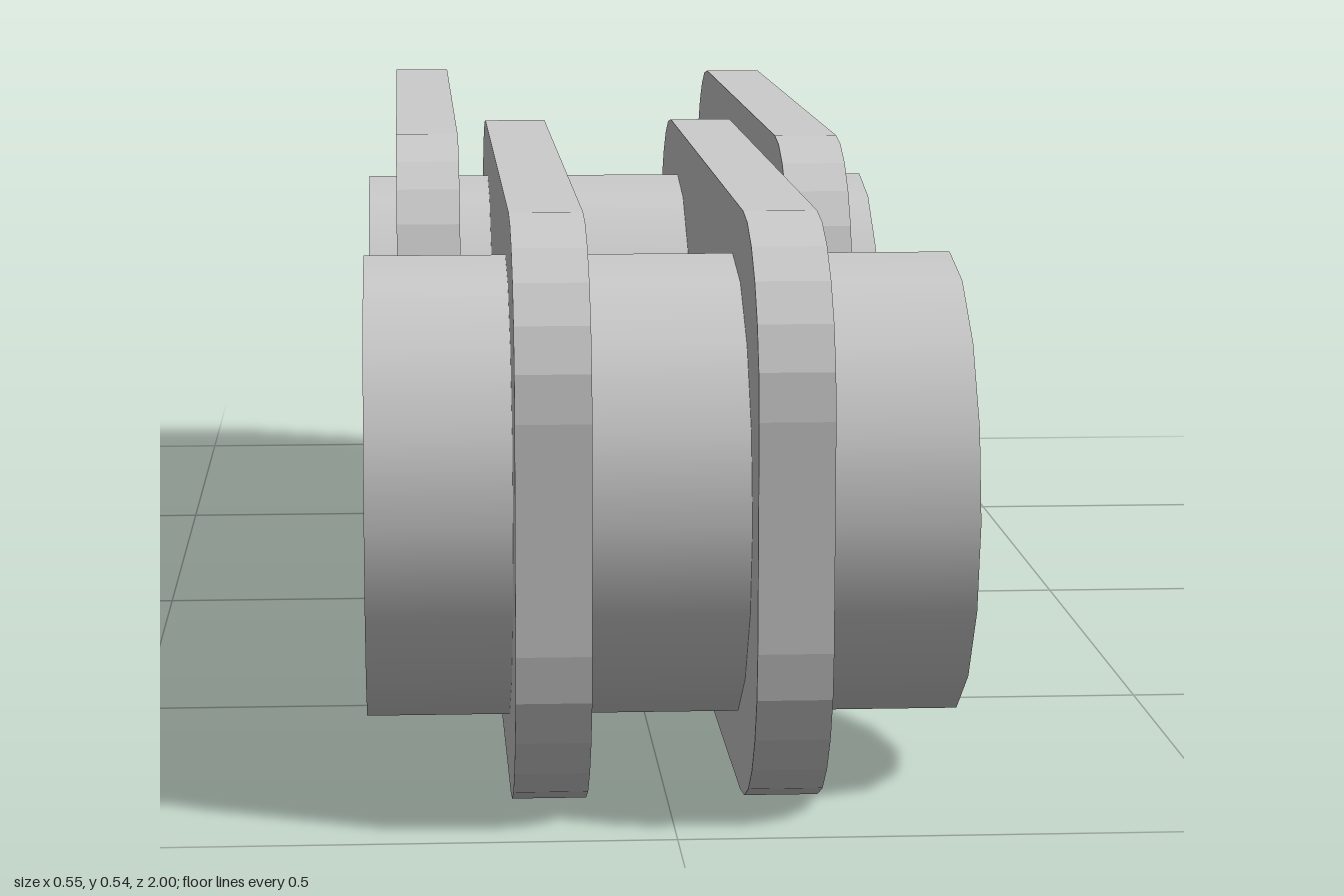
import * as THREE from 'three';

const HEIGHT = 0.535, LENGTH = 1.246, THICK = 0.067, CORNER = 0.165;
const PIN_RADIUS = 0.216, PIN_LENGTH = 0.545;

// Rounded link plate, long along z, thin along x, centred on its own origin
function plateGeometry() {
  const l = LENGTH / 2, h = HEIGHT / 2, r = CORNER, q = Math.PI / 2;
  const s = new THREE.Shape();
  s.absarc(l - r, h - r, r, 0, q);
  s.absarc(-l + r, h - r, r, q, 2 * q);
  s.absarc(-l + r, -h + r, r, 2 * q, 3 * q);
  s.absarc(l - r, -h + r, r, 3 * q, 4 * q);
  s.closePath();
  const g = new THREE.ExtrudeGeometry(s, { depth: THICK, bevelEnabled: false, curveSegments: 3 });
  return g.translate(0, 0, -THICK / 2).rotateY(-Math.PI / 2);
}

export function createModel() {
  const group = new THREE.Group();
  const material = new THREE.MeshStandardMaterial({ color: 0xcccccc });
  const add = (name, geometry, x, z) => {
    const mesh = new THREE.Mesh(geometry, material);
    mesh.name = name;
    mesh.position.set(x, HEIGHT / 2, z);
    group.add(mesh);
  };

  // Inner pair of plates, and the slightly staggered outer pair
  const plate = plateGeometry();
  add('innerPlateLeft', plate, 0.103, 0.377);
  add('innerPlateRight', plate, -0.108, 0.377);
  add('outerPlateLeft', plate, 0.202, -0.338);
  add('outerPlateRight', plate, -0.209, -0.377);

  // Cross pins through the plates
  const pin = new THREE.CylinderGeometry(PIN_RADIUS, PIN_RADIUS, PIN_LENGTH, 16).rotateZ(Math.PI / 2);
  add('frontPin', pin, 0, 0.729);
  add('middlePin', pin, 0, 0.027);

  return group;
}
